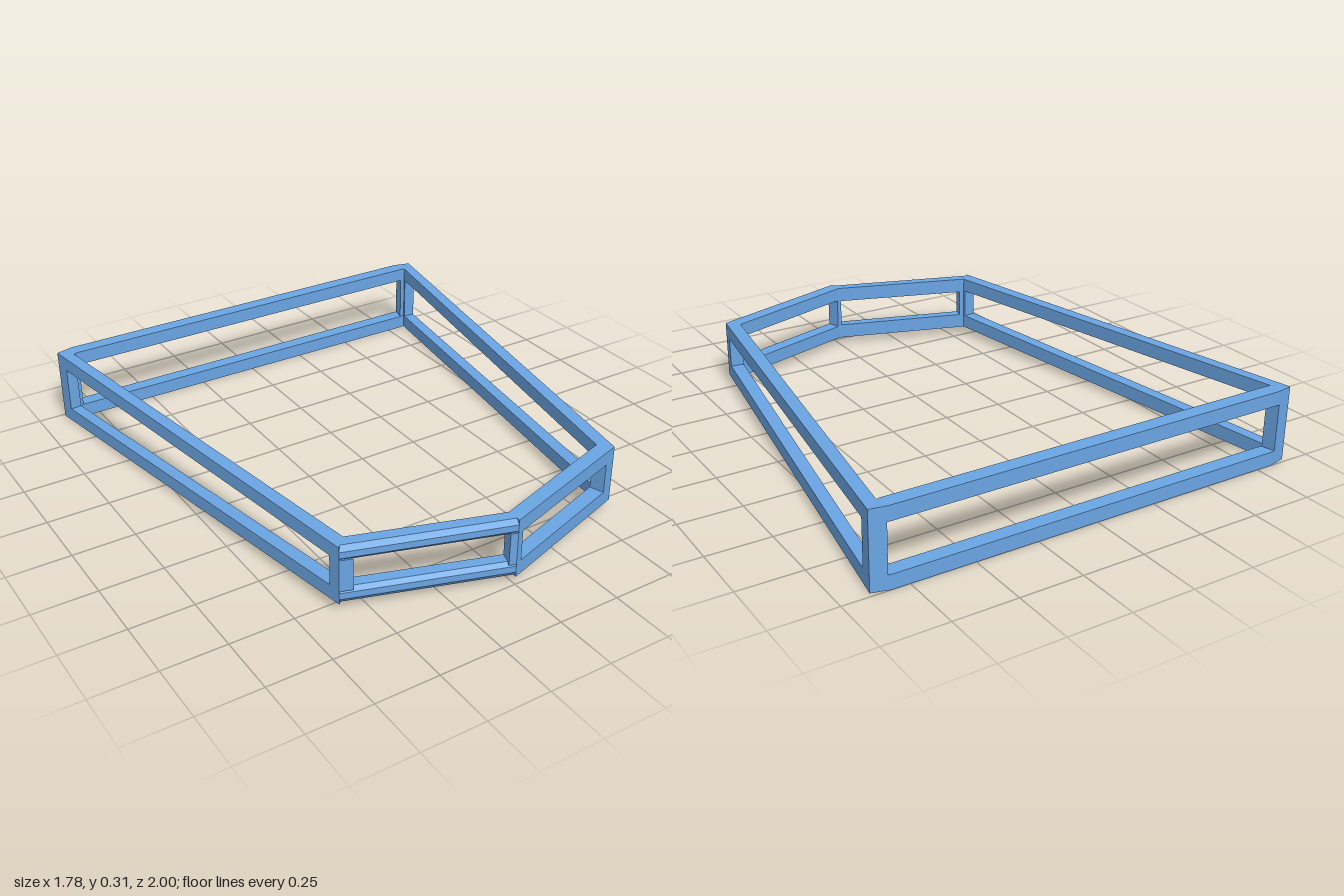
import * as THREE from 'three';

const HEIGHT = 0.305, BAR = 0.057;

// Skin a run of matching cross-sections, closing both ends
function loft(sections, flip, mat, name) {
  const pos = [];
  const tri = (a, b, c) => (flip ? [a, c, b] : [a, b, c]).forEach(p => pos.push(...p));
  const n = sections[0].length, last = sections[sections.length - 1];
  for (let s = 0; s < sections.length - 1; s++) {
    const A = sections[s], B = sections[s + 1];
    for (let k = 0; k < n; k++) {
      const m = (k + 1) % n;
      tri(A[k], A[m], B[m]);
      tri(A[k], B[m], B[k]);
    }
  }
  for (let k = 1; k < n - 1; k++) {
    tri(sections[0][0], sections[0][k + 1], sections[0][k]);
    tri(last[0], last[k], last[k + 1]);
  }
  const geo = new THREE.BufferGeometry();
  geo.setAttribute('position', new THREE.Float32BufferAttribute(pos, 3));
  geo.computeVertexNormals();
  const mesh = new THREE.Mesh(geo, mat);
  mesh.name = name;
  return mesh;
}

export function createModel() {
  const group = new THREE.Group();
  group.name = 'cornerFrame';
  const mat = new THREE.MeshStandardMaterial({ color: 0x6aa5e3, flatShading: true });

  // Plan outline: outer and inner corner, height inset, post reach along each side
  const half = [
    { o: [0.605, 0.805], i: [0.558, 0.757], inset: 0.035, post: 0.05 },
    { o: [0.89, -0.985], i: [0.835, -0.94], inset: 0.002, post: 0.062 },
    { o: [0.82, -1], i: [0.82, -0.94], inset: 0, post: 0 },
  ];
  const mirror = c => ({ ...c, o: [-c.o[0], c.o[1]], i: [-c.i[0], c.i[1]] });
  const ring = [
    { o: [0, 1], i: [0, 0.94], inset: 0.033, post: 0.028 },
    ...half, ...half.map(mirror).reverse(),
  ];
  const names = ['frontLeft', 'left', 'backLeftEnd', 'back', 'backRightEnd', 'right', 'frontRight'];

  // Bar profiles: u runs outside to inside, v from the rim towards the window
  const square = [[0, 0], [0, 1], [1, 1], [1, 0]];
  const bevelled = [[0.25, 0], [0, 0.35], [0, 0.8], [0.25, 1.08], [1, 1.08], [1, 0]];

  // Upper and lower rails
  ring.forEach((a, k) => {
    const b = ring[(k + 1) % ring.length];
    const profile = names[k] === 'frontRight' ? bevelled : square;
    for (const top of [true, false]) {
      const section = c => profile.map(([u, v]) => {
        const d = c.inset + v * BAR;
        return [
          c.o[0] + (c.i[0] - c.o[0]) * u,
          top ? HEIGHT - d : d,
          c.o[1] + (c.i[1] - c.o[1]) * u,
        ];
      });
      group.add(loft([section(a), section(b)], !top, mat, names[k] + (top ? 'UpperRail' : 'LowerRail')));
    }
  });

  // Corner posts, folded around each corner
  ring.forEach((c, k) => {
    if (!c.post) return;
    const O = new THREE.Vector2(...c.o), I = new THREE.Vector2(...c.i);
    const side = step => {
      const next = ring[(k + step + ring.length) % ring.length];
      const dir = new THREE.Vector2(...next.o).sub(O).normalize();
      const foot = I.clone().sub(O).dot(dir);
      return [
        O.clone().addScaledVector(dir, c.post),
        I.clone().addScaledVector(dir, Math.max(0, c.post - foot)),
      ];
    };
    const [nextOut, nextIn] = side(1), [prevOut, prevIn] = side(-1);
    const plan = [O, nextOut, nextIn, I, prevIn, prevOut];
    const low = c.inset + BAR - 0.004;
    const sections = [low, HEIGHT - low].map(y => plan.map(p => [p.x, y, p.y]));
    group.add(loft(sections, false, mat, 'cornerPost' + k));
  });

  return group;
}
